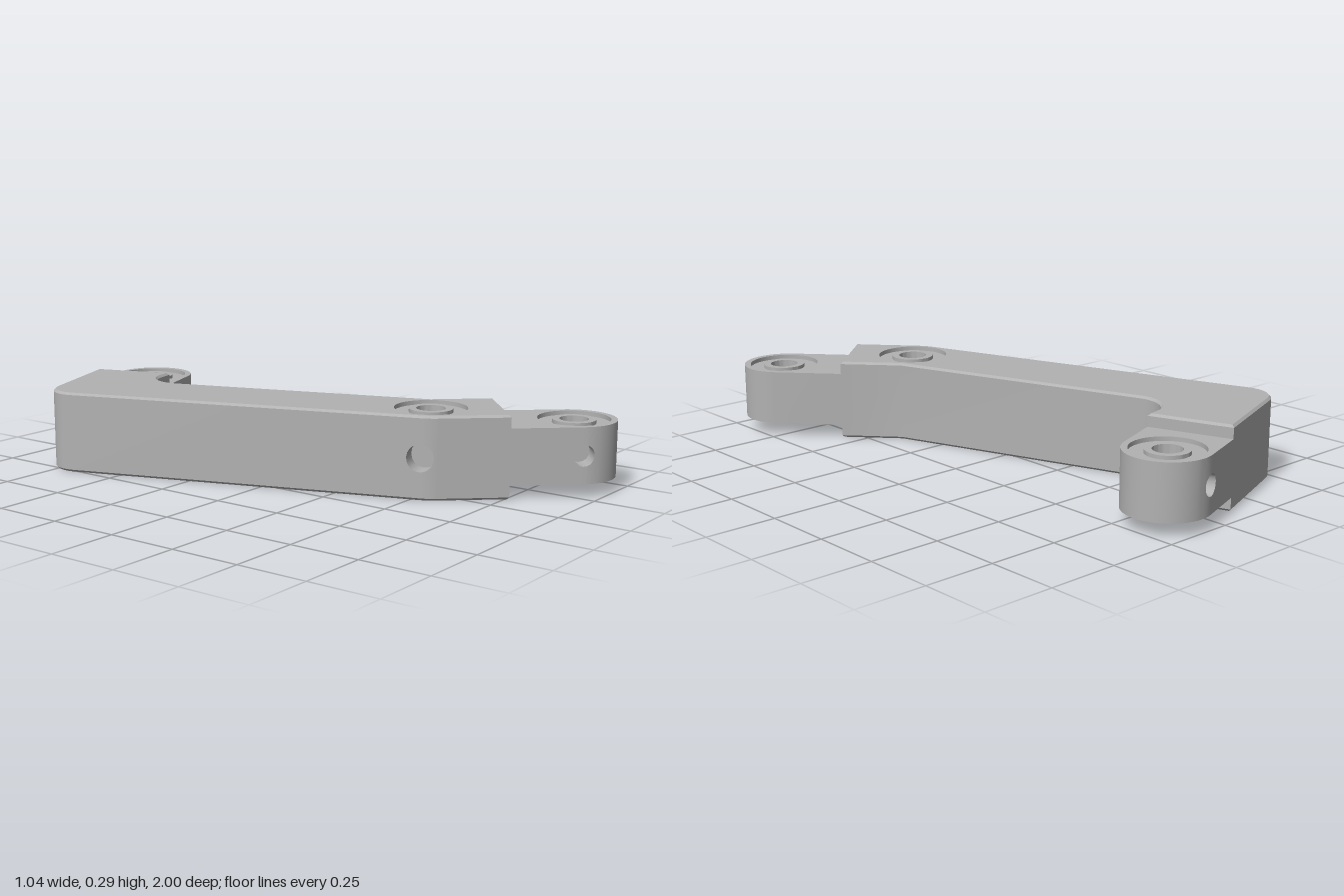
import * as THREE from 'three';
import { toCreasedNormals } from 'three/addons/utils/BufferGeometryUtils.js';

const R = 0.147;          // half width of the arm and radius of the eyes
const RECESS = 0.125;     // radius of the shallow seat around each bushing
const W = 0.054;          // half width of the wall patch around a side port
const V = (x, z) => new THREE.Vector2(x, z);
const at = (p, d, s) => p.clone().addScaledVector(d, s);

// Wall around an eye: straight for s < 0, bending round the centre for s > 0
function wallPoint(e, s) {
  if (s <= 0) return at(at(e.c, e.n, R), e.t, s);
  return at(at(e.c, e.n, R * Math.cos(s / R)), e.t, R * Math.sin(s / R));
}

// Plan points along that wall; those beside the port are flagged
function wallPoints(e, end) {
  const list = [-W, -W / 2, 0, W / 3, W * 2 / 3, W];
  const steps = Math.max(1, Math.round((end - W) / 0.018));
  for (let i = 1; i <= steps; i++) list.push(W + (end - W) * i / steps);
  return list.map((s, i) => Object.assign(wallPoint(e, s), { port: i < 6 }));
}

function arc(cx, cz, r, a0, a1, n = 12) {
  return Array.from({ length: n + 1 }, (_, i) => {
    const a = a0 + (a1 - a0) * i / n;
    return V(cx + r * Math.cos(a), cz + r * Math.sin(a));
  });
}

// Upright solid over a plan outline, with a round seat in both caps and a side port
function solid(outline, eye, y0, y1, chamfer, portR, depth) {
  const pos = [];
  const tri = (a, b, c) => pos.push(a.x, a.y, a.z, b.x, b.y, b.z, c.x, c.y, c.z);
  const quad = (a, b, c, d) => { tri(a, b, c); tri(a, c, d); };
  const P = (p, y) => new THREE.Vector3(p.x, y, p.y);
  const pts = THREE.ShapeUtils.area(outline) > 0 ? outline.slice().reverse() : outline;
  const n = pts.length;

  // inset outline for the chamfered rim
  const inset = pts.map((p, i) => {
    const a = p.clone().sub(pts[(i + n - 1) % n]).normalize();
    const b = pts[(i + 1) % n].clone().sub(p).normalize();
    const na = V(a.y, -a.x), nb = V(b.y, -b.x);
    return at(p, na.clone().add(nb), chamfer / (1 + na.dot(nb)));
  });
  const lo = y0 + chamfer, hi = y1 - chamfer;
  for (let i = 0; i < n; i++) {
    const j = (i + 1) % n, p = pts[i], q = pts[j];
    if (!(p.port && q.port)) quad(P(p, lo), P(q, lo), P(q, hi), P(p, hi));
    if (chamfer) {
      quad(P(p, hi), P(q, hi), P(inset[j], y1), P(inset[i], y1));
      quad(P(inset[i], y0), P(inset[j], y0), P(q, lo), P(p, lo));
    }
  }

  // caps
  const hole = arc(eye.c.x, eye.c.y, RECESS, 0, Math.PI * 2, 48).slice(0, 48);
  const all = [...inset, ...hole];
  for (const f of THREE.ShapeUtils.triangulateShape(inset.slice(), [hole.slice()])) {
    let [a, b, c] = f.map(i => all[i]);
    if (b.clone().sub(a).cross(c.clone().sub(a)) > 0) [b, c] = [c, b];
    tri(P(a, y1), P(b, y1), P(c, y1));
    tri(P(a, y0), P(c, y0), P(b, y0));
  }

  // wall patch with the round port, then the port's bore and floor
  const mid = (lo + hi) / 2, h = (hi - lo) / 2, rim = [];
  const corners = [[-W, -h], [W, -h], [W, h], [-W, h]];
  for (let k = 0; k < 4; k++) {
    const [a, b] = [corners[k], corners[(k + 1) % 4]];
    for (let i = 0; i < 12; i++) rim.push([0, 1].map(m => a[m] + (b[m] - a[m]) * i / 12));
  }
  const ring = f => rim.map(([s, y]) => {
    const l = portR / Math.hypot(s, y), k = l + (1 - l) * f;
    return P(wallPoint(eye, s * k), mid + y * k);
  });
  const rings = [1, 0.66, 0.33, 0].map(ring);
  rings.push(rings[3].map(p => {
    const d = R - depth - V(p.x, p.z).sub(eye.c).dot(eye.n);
    return new THREE.Vector3(p.x + eye.n.x * d, p.y, p.z + eye.n.y * d);
  }));
  const floor = P(at(eye.c, eye.n, R - depth), mid);
  const flip = eye.t.cross(eye.n) > 0;
  const face = (a, b, c) => (flip ? tri(a, b, c) : tri(a, c, b));
  for (let i = 0; i < 48; i++) {
    const j = (i + 1) % 48;
    for (let k = 0; k < 4; k++) {
      const a = rings[k][i], b = rings[k][j], c = rings[k + 1][j], d = rings[k + 1][i];
      face(a, b, c);
      face(a, c, d);
    }
    face(rings[4][i], rings[4][j], floor);
  }
  const g = new THREE.BufferGeometry();
  g.setAttribute('position', new THREE.Float32BufferAttribute(pos, 3));
  return toCreasedNormals(g, 0.5);
}

// Seat, bushing ring and bore in one turned profile
function bushing(y0, y1) {
  const d = 0.015;
  const profile = [
    [RECESS, y1], [RECESS, y1 - d], [0.075, y1 - d], [0.075, y1 - 0.002], [0.05, y1 - 0.002],
    [0.05, y0 + 0.002], [0.075, y0 + 0.002], [0.075, y0 + d], [RECESS, y0 + d], [RECESS, y0],
  ].map(p => V(...p));
  return toCreasedNormals(new THREE.LatheGeometry(profile, 48), 0.5);
}

export function createModel() {
  const group = new THREE.Group();
  const metal = new THREE.MeshStandardMaterial({ color: 0xb2b2b2 });
  metal.name = 'grey metal';
  const add = (name, geometry, c) => {
    const mesh = new THREE.Mesh(geometry, metal);
    mesh.name = name;
    if (c) mesh.position.set(c.x, 0, c.y);
    group.add(mesh);
  };

  // eyes: centre c, port side n, outward direction t
  const rear = { c: V(0.115, -0.855), n: V(-0.333, -0.943), t: V(0.943, -0.333), length: 0.184 };
  const front = { c: V(0.37, 0.853), n: V(-0.745, 0.667), t: V(0.667, 0.745), length: 0.248 };
  const middle = { c: V(0.043, 0.485), n: V(-0.945, 0.327), t: V(0.327, 0.945) };
  const step = (e, side) => at(at(e.c, e.t, -e.length), e.n, R * side);

  // main arm: bent thick bar with rounded elbow
  const a1 = Math.atan2(-0.943, -0.333), a2 = Math.atan2(0.327, -0.945) - Math.PI * 2;
  const outline = [
    step(rear, 1),
    ...arc(-0.411, -0.701, 0.11, a1, a2),
    ...wallPoints(middle, 0.0584),
    step(front, 1),
    step(front, -1),
    V(0.165, 0.405),
    ...arc(-0.034, -0.529, 0.12, a2, a1),
    step(rear, -1),
  ];
  add('mainArm', solid(outline, middle, 0, 0.288, 0.008, 0.047, 0.07));
  add('middleBushing', bushing(0, 0.288), middle.c);

  // thinner rounded end eyes
  for (const [name, e] of [['rearEye', rear], ['frontEye', front]]) {
    const plan = [step(e, 1), ...wallPoints(e, Math.PI * R), step(e, -1)];
    add(name, solid(plan, e, 0.048, 0.243, 0, 0.037, 0.07));
    add(name + 'Bushing', bushing(0.048, 0.243), e.c);
  }
  return group;
}
